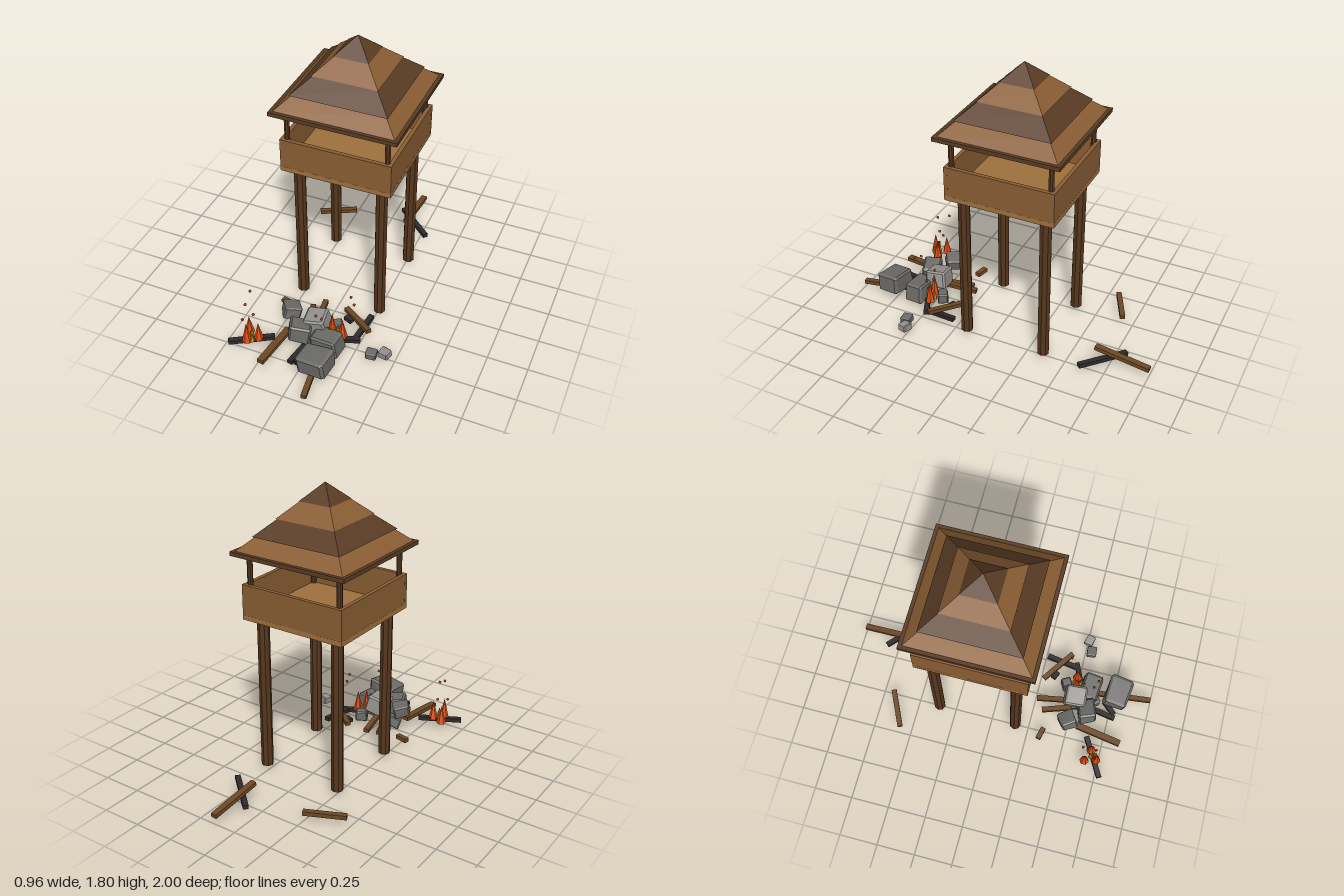
import * as THREE from 'three';
import { ConvexGeometry } from 'three/addons/geometries/ConvexGeometry.js';

const mat = (name, color) => {
  const m = new THREE.MeshStandardMaterial({ color, flatShading: true });
  m.name = name;
  return m;
};

export function createModel() {
  const M = {
    light: mat('light wood', 0x8b5e34),
    dark: mat('dark wood', 0x5a3c24),
    post: mat('post wood', 0x57381f),
    floor: mat('floor wood', 0xa0713f),
    plank: mat('broken wood', 0x6e4824),
    char: mat('charred wood', 0x2e2a2a),
    stone: mat('grey stone', 0x6c6b68),
    pale: mat('pale stone', 0x94938f),
    flame: mat('flame orange', 0xe04e10),
    glow: mat('flame yellow', 0xd99a20),
  };
  const root = new THREE.Group();
  root.name = 'burningWatchtower';

  const group = (name, parent = root) => {
    const g = new THREE.Group();
    g.name = name;
    parent.add(g);
    return g;
  };
  const add = (parent, name, geo, m, x, y, z) => {
    const mesh = new THREE.Mesh(geo, m);
    mesh.name = name;
    mesh.position.set(x, y, z);
    parent.add(mesh);
    return mesh;
  };

  let seed = 7;
  const rand = () => {
    seed = (seed * 16807) % 2147483647;
    return seed / 2147483647;
  };

  // Tower: legs, floor, parapet and roof posts
  const tower = group('tower');
  tower.position.set(0.005, 0, -0.1);
  const legGeo = new THREE.CylinderGeometry(0.037, 0.037, 0.97, 8);
  const postGeo = new THREE.CylinderGeometry(0.017, 0.017, 0.38, 8);
  for (const sx of [-1, 1]) {
    for (const sz of [-1, 1]) {
      add(tower, 'leg', legGeo, M.post, sx * 0.26, 0.515, sz * 0.26);
      add(tower, 'roofPost', postGeo, M.post, sx * 0.307, 1.21, sz * 0.307);
    }
  }
  add(tower, 'floor', new THREE.BoxGeometry(0.684, 0.03, 0.684), M.floor, 0, 1.018, 0);
  for (const s of [-1, 1]) {
    add(tower, 'parapet', new THREE.BoxGeometry(0.684, 0.187, 0.025), M.light, 0, 1.126, s * 0.329);
    add(tower, 'parapet', new THREE.BoxGeometry(0.025, 0.187, 0.634), M.light, s * 0.329, 1.126, 0);
  }

  // Stepped pyramid roof in alternating shades
  const roof = group('roof', tower);
  add(roof, 'eaves', new THREE.BoxGeometry(0.772, 0.025, 0.772), M.dark, 0, 1.408, 0);
  const tiers = [
    [1.42, 1.5, 0.365, 0.28, M.light],
    [1.498, 1.597, 0.295, 0.19, M.dark],
    [1.595, 1.692, 0.2, 0.1, M.light],
    [1.69, 1.795, 0.106, 0, M.dark],
  ];
  for (const [y0, y1, r0, r1, m] of tiers) {
    const g = new THREE.CylinderGeometry(r1 * Math.SQRT2, r0 * Math.SQRT2, y1 - y0, 4);
    g.rotateY(Math.PI / 4);
    add(roof, 'roofTier', g, m, 0, (y0 + y1) / 2, 0);
  }

  // Fallen planks, each running between two end points
  const planks = group('fallenPlanks');
  const plank = (m, a, b, w = 0.033) => {
    const p = new THREE.Vector3(...a), q = new THREE.Vector3(...b);
    const mid = p.clone().add(q).multiplyScalar(0.5);
    const mesh = add(planks, 'plank', new THREE.BoxGeometry(w, 0.026, p.distanceTo(q)), m, mid.x, mid.y, mid.z);
    mesh.lookAt(q);
  };
  plank(M.plank, [-0.47, 0.04, -0.575], [-0.24, 0.045, -0.685]);
  plank(M.plank, [0.15, 0.045, -1], [0.14, 0.085, -0.65], 0.038);
  plank(M.char, [0.06, 0.04, -0.825], [0.3, 0.045, -0.605]);
  plank(M.plank, [-0.32, 0.05, 0.33], [-0.24, 0.05, 0.35]);
  plank(M.plank, [-0.12, 0.05, 0.31], [-0.06, 0.07, 0.5]);
  plank(M.plank, [-0.055, 0.07, 0.26], [-0.02, 0.09, 0.48]);
  plank(M.plank, [0.09, 0.07, 0.27], [0.3, 0.095, 0.42]);
  plank(M.char, [0.255, 0.06, 0.26], [0.23, 0.045, 0.46]);
  plank(M.char, [0.26, 0.045, 0.46], [0.08, 0.05, 0.54]);
  plank(M.plank, [-0.17, 0.06, 0.56], [-0.215, 0.05, 0.86], 0.042);
  plank(M.char, [-0.02, 0.045, 0.58], [-0.055, 0.045, 0.79]);
  plank(M.plank, [0.08, 0.06, 0.63], [0.13, 0.04, 0.995]);
  plank(M.char, [-0.47, 0.042, 0.78], [-0.225, 0.05, 0.64]);
  plank(M.char, [-0.03, 0.05, 0.78], [0.04, 0.05, 0.7]);
  plank(M.char, [0.11, 0.06, 0.33], [0.16, 0.06, 0.35]);

  // Rubble: irregular blocks with cut corners
  const rubble = group('rubble');
  const rock = (m, x, y, z, w, h, d, turn, tilt = 0) => {
    const pts = [];
    for (const sx of [-1, 1]) for (const sy of [-1, 1]) for (const sz of [-1, 1]) {
      const k = 0.88 + rand() * 0.14;
      for (let i = 0; i < 3; i++) {
        const c = [0, 1, 2].map((j) => (j === i ? 0.5 : 0.41) * k);
        pts.push(new THREE.Vector3(sx * c[0] * w, sy * c[1] * h, sz * c[2] * d));
      }
    }
    add(rubble, 'rock', new ConvexGeometry(pts), m, x, y, z).rotation.set(tilt * 0.5, turn, tilt);
  };
  rock(M.stone, -0.18, 0.165, 0.49, 0.11, 0.08, 0.11, 0.6, -0.2);
  rock(M.pale, 0, 0.145, 0.505, 0.14, 0.12, 0.14, 0.1, 0.2);
  rock(M.stone, -0.075, 0.125, 0.6, 0.14, 0.12, 0.12, 0.35, -0.15);
  rock(M.stone, 0.1, 0.09, 0.59, 0.18, 0.13, 0.13, -0.1, 0.1);
  rock(M.stone, 0.105, 0.11, 0.775, 0.2, 0.13, 0.16, -0.1, 0.12);
  rock(M.stone, 0.09, 0.07, 0.43, 0.08, 0.07, 0.07, 0.5);
  rock(M.stone, -0.1, 0.04, 0.53, 0.1, 0.07, 0.09, 0.4, 0.3);
  rock(M.stone, 0.03, 0.05, 0.6, 0.12, 0.08, 0.12, 0.7);
  rock(M.stone, 0.365, 0.045, 0.54, 0.068, 0.045, 0.065, 0.1);
  rock(M.pale, 0.44, 0.05, 0.51, 0.068, 0.05, 0.062, -0.25, 0.1);

  // Fires: [x, z, peak height] for each flame, with small yellow cores between
  const fire = (flames, cores, base) => {
    const g = group('fire');
    const cone = (name, m, r, [x, z, top]) =>
      add(g, name, new THREE.ConeGeometry(r, top - base, 6), m, x, (top + base) / 2, z);
    flames.forEach((f) => cone('flame', M.flame, 0.031, f));
    cores.forEach((f) => cone('flameCore', M.glow, 0.016, f));
  };
  fire([[-0.385, 0.66, 0.175], [-0.365, 0.735, 0.19], [-0.308, 0.69, 0.175]],
    [[-0.35, 0.695, 0.14], [-0.335, 0.725, 0.12]], 0.05);
  fire([[0.09, 0.49, 0.23], [0.155, 0.487, 0.2], [0.095, 0.545, 0.18]],
    [[0.12, 0.52, 0.15], [0.12, 0.475, 0.14]], 0.06);

  // Floating embers
  const embers = group('embers');
  const emberGeo = new THREE.IcosahedronGeometry(0.01, 0);
  for (const p of [
    [-0.38, 0.36, 0.63], [-0.37, 0.33, 0.715], [-0.395, 0.2, 0.72], [-0.35, 0.21, 0.665],
    [0.04, 0.3, 0.61], [0.085, 0.31, 0.63], [0.185, 0.34, 0.425], [0.205, 0.285, 0.425],
  ]) add(embers, 'ember', emberGeo, M.flame, ...p);

  return root;
}
